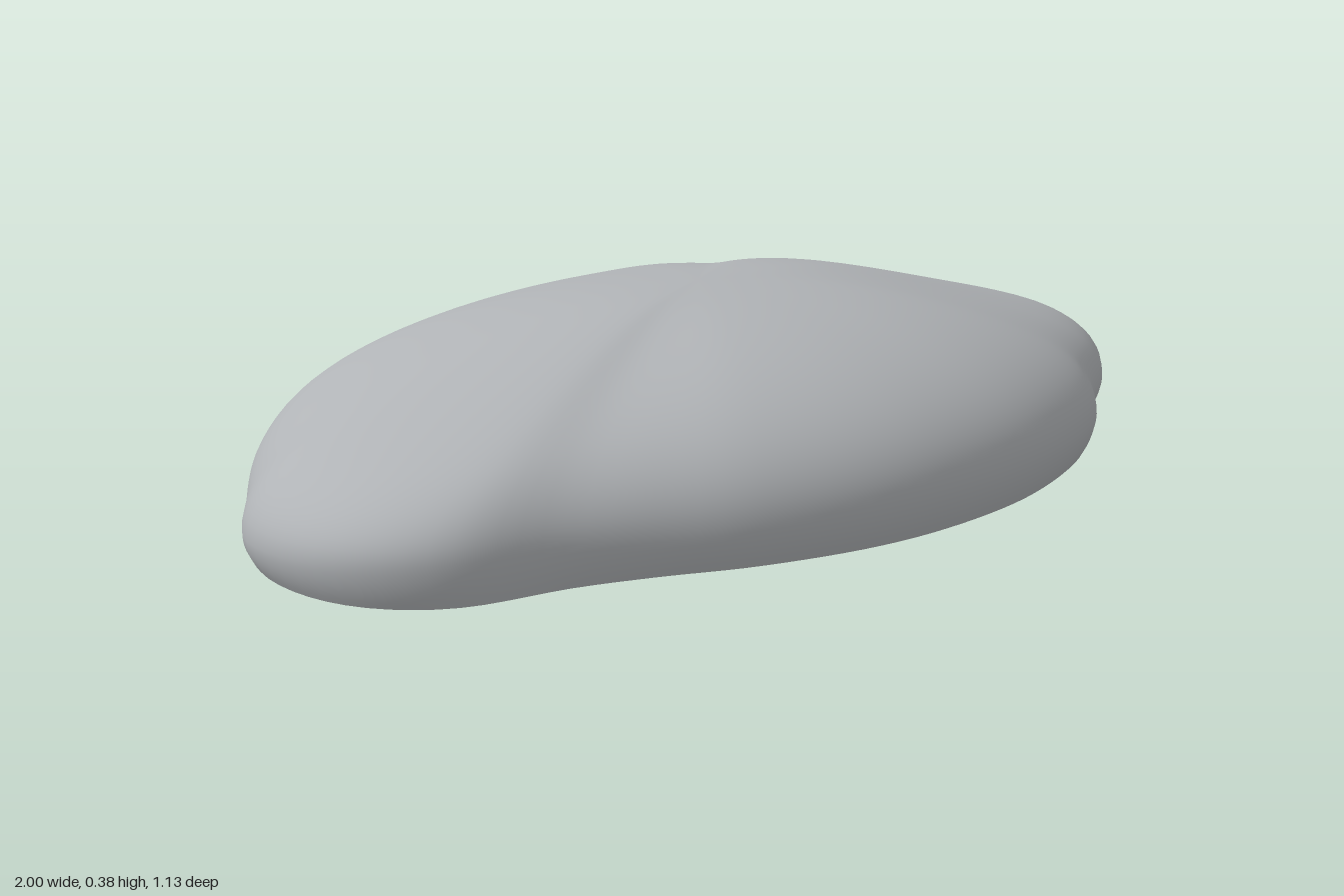
import * as THREE from 'three';

// Widest outline of the pebble, as x, z pairs, counterclockwise from above
const OUTLINE = [
  [1, -0.2], [0.97, -0.32], [0.9, -0.43], [0.78, -0.52], [0.65, -0.555], [0.52, -0.553],
  [0.4, -0.53], [0.3, -0.52], [0.18, -0.545], [0, -0.567], [-0.22, -0.54], [-0.45, -0.49],
  [-0.65, -0.41], [-0.8, -0.31], [-0.89, -0.18], [-0.95, -0.03], [-1, 0.12], [-0.99, 0.23],
  [-0.94, 0.34], [-0.86, 0.42], [-0.75, 0.47], [-0.55, 0.48], [-0.4, 0.505], [-0.22, 0.545],
  [0, 0.563], [0.18, 0.545], [0.4, 0.48], [0.58, 0.38], [0.7, 0.28], [0.79, 0.15],
  [0.92, 0.01], [0.98, -0.09],
];
const HEIGHT = 0.385;
const APEX = { x: -0.06, z: 0.02 };
const AROUND = 128, LOW = 6, HIGH = 28;

// Saddle depth between the main dome and its two end lobes
function saddle(x, z) {
  const a = Math.atan2(z, x);
  const near = (centre, width) => {
    const d = Math.atan2(Math.sin(a - centre), Math.cos(a - centre));
    return Math.exp(-((d / width) ** 2));
  };
  return 0.28 * near(-0.44, 0.6) + 0.2 * near(Math.PI - 0.45, 0.45);
}

function domeGeometry() {
  const curve = new THREE.CatmullRomCurve3(
    OUTLINE.map(([x, z]) => new THREE.Vector3(x, 0, z)), true, 'centripetal');
  const rim = curve.getSpacedPoints(AROUND).slice(0, AROUND);
  const positions = [], index = [];

  // Undercut rings from the ground up to the widest line
  for (let i = 0; i < LOW; i++) {
    const f = i / LOW;
    for (const p of rim) {
      const bulge = 0.05 + 0.07 * Math.abs(p.z);
      const k = 1 - 0.022 * (1 - f) ** 2 / p.length();
      positions.push(p.x * k, bulge * f, p.z * k);
    }
  }
  // Elliptical rings from the widest line to the apex
  for (let i = 0; i < HIGH; i++) {
    const t = (i / HIGH) * Math.PI / 2;
    const u = Math.cos(t);
    const blend = THREE.MathUtils.smoothstep(u, 0.15, 0.85);
    for (const p of rim) {
      const bulge = 0.05 + 0.07 * Math.abs(p.z);
      const y = bulge + (HEIGHT - bulge) * Math.sin(t) * (1 - saddle(p.x, p.z) * blend);
      positions.push(p.x * u + APEX.x * (1 - u), y, p.z * u + APEX.z * (1 - u));
    }
  }
  positions.push(APEX.x, HEIGHT, APEX.z);

  const rings = LOW + HIGH, top = rings * AROUND;
  for (let i = 0; i < rings; i++) {
    for (let j = 0; j < AROUND; j++) {
      const n = (j + 1) % AROUND;
      const a = i * AROUND + j, b = i * AROUND + n;
      if (i === rings - 1) index.push(a, b, top);
      else index.push(a, b, b + AROUND, a, b + AROUND, a + AROUND);
    }
  }
  const geometry = new THREE.BufferGeometry();
  geometry.setAttribute('position', new THREE.Float32BufferAttribute(positions, 3));
  geometry.setIndex(index);
  geometry.computeVertexNormals();
  return geometry;
}

export function createModel() {
  const group = new THREE.Group();
  group.name = 'pebble';
  const stone = new THREE.MeshStandardMaterial({ color: 0xb0b3b6, side: THREE.DoubleSide });
  stone.name = 'stone grey';

  // Hollow shell, open underneath
  const shell = new THREE.Mesh(domeGeometry(), stone);
  shell.name = 'stoneShell';
  group.add(shell);
  return group;
}
